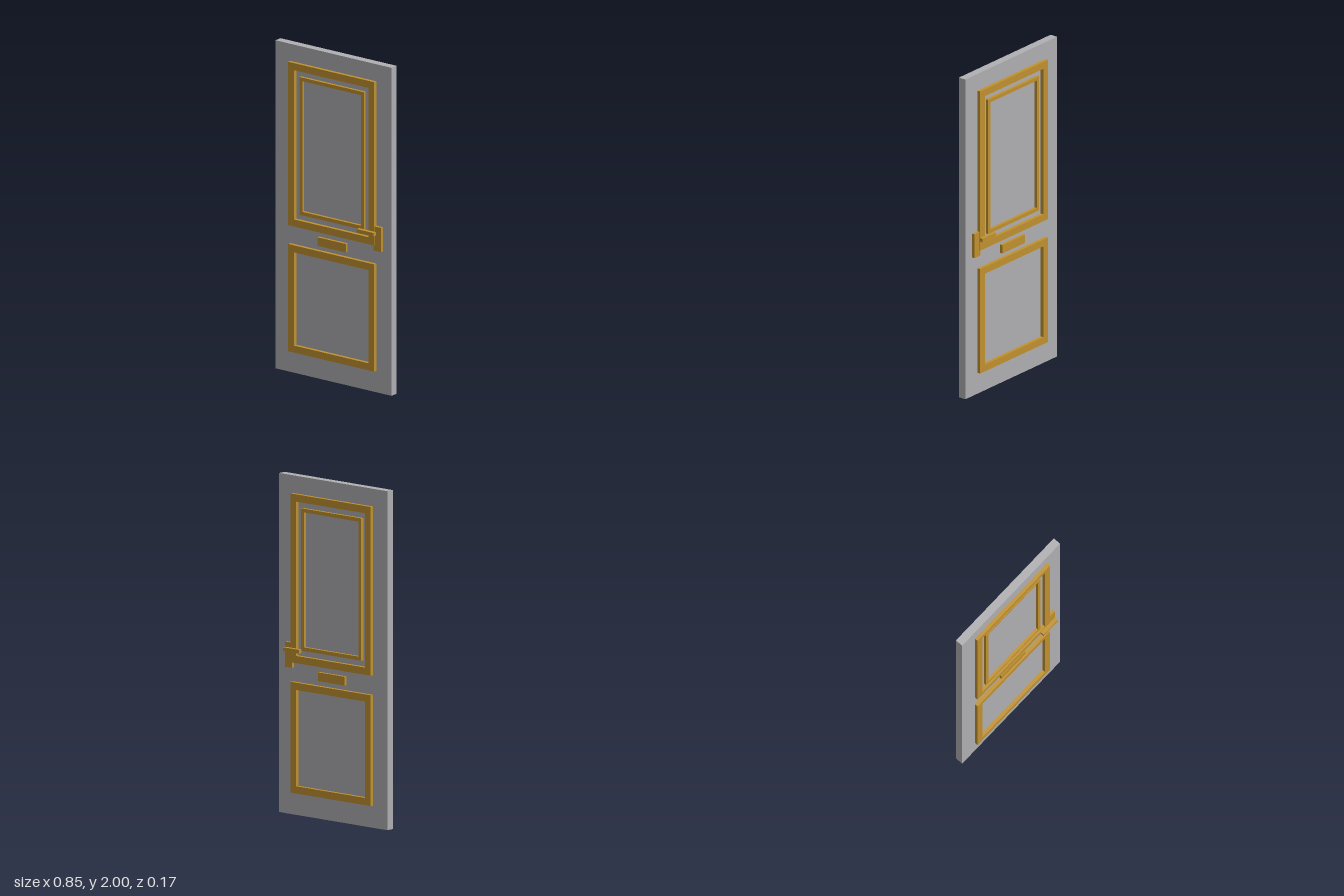
import * as THREE from 'three';

const gold = new THREE.MeshStandardMaterial({ color: 0xc1922f });
gold.name = 'brass';
const grey = new THREE.MeshStandardMaterial({ color: 0xb0b0b3 });
grey.name = 'greyPanel';

const FACE = 0.0245; // half thickness of the door leaf

// Box given by its bounds
function box(name, material, x0, x1, y0, y1, z0, z1) {
  const mesh = new THREE.Mesh(new THREE.BoxGeometry(x1 - x0, y1 - y0, z1 - z0), material);
  mesh.position.set((x0 + x1) / 2, (y0 + y1) / 2, (z0 + z1) / 2);
  mesh.name = name;
  return mesh;
}

// Rectangular moulding with an open middle, standing out from z0 to z1
function frame(name, halfWidth, y0, y1, bar, z0, z1) {
  const rect = (target, w, a, b) =>
    target.moveTo(-w, a).lineTo(w, a).lineTo(w, b).lineTo(-w, b).closePath();
  const shape = rect(new THREE.Shape(), halfWidth, y0, y1);
  shape.holes.push(rect(new THREE.Path(), halfWidth - bar, y0 + bar, y1 - bar));
  const geometry = new THREE.ExtrudeGeometry(shape, { depth: z1 - z0, bevelEnabled: false });
  const mesh = new THREE.Mesh(geometry, gold);
  mesh.position.z = z0;
  mesh.name = name;
  return mesh;
}

export function createModel() {
  const door = new THREE.Group();
  door.name = 'door';
  door.add(box('doorLeaf', grey, -0.424, 0.424, 0, 2, -FACE, FACE));

  // The same fittings on both faces of the leaf
  for (const side of [1, -1]) {
    const label = side > 0 ? 'front' : 'back';
    const span = (a, b) => (side > 0 ? [a, b] : [-b, -a]);
    const fittings = new THREE.Group();
    fittings.name = label + 'Fittings';
    fittings.add(
      frame(label + 'UpperMoulding', 0.314, 0.9, 1.896, 0.043, ...span(FACE, 0.046)),
      frame(label + 'InnerMoulding', 0.236, 0.978, 1.818, 0.022, ...span(FACE, 0.042)),
      frame(label + 'LowerMoulding', 0.314, 0.131, 0.785, 0.043, ...span(FACE, 0.046)),
      box(label + 'LetterPlate', gold, -0.104, 0.104, 0.815, 0.867, ...span(FACE, 0.042)),
      box(label + 'LockPlate', gold, 0.307, 0.361, 0.867, 1.016, ...span(FACE, 0.042)),
      box(label + 'Handle', gold, 0.215, 0.338, 0.969, 0.991, ...span(0.061, 0.084)),
    );
    door.add(fittings);
  }
  return door;
}
